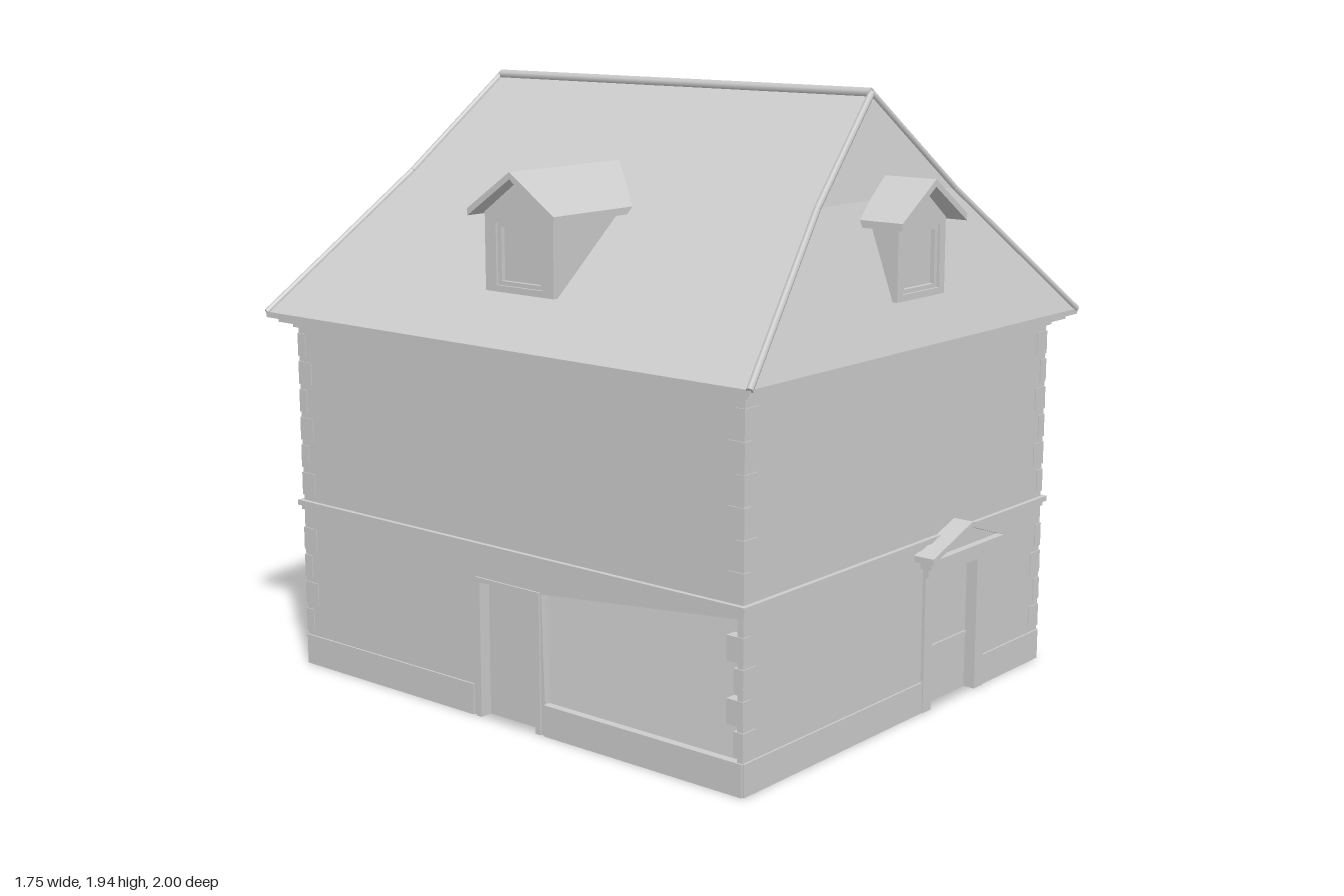
import * as THREE from 'three';

const stone = new THREE.MeshStandardMaterial({ color: 0xcccccc });
stone.name = 'pale grey stone';

const add = (parent, name, geo, x = 0, y = 0, z = 0) => {
  const m = new THREE.Mesh(geo, stone);
  m.name = name;
  m.position.set(x, y, z);
  parent.add(m);
  return m;
};

// Box given by its minimum and maximum corners
const block = (parent, name, x0, x1, y0, y1, z0, z1) =>
  add(parent, name, new THREE.BoxGeometry(x1 - x0, y1 - y0, z1 - z0),
    (x0 + x1) / 2, (y0 + y1) / 2, (z0 + z1) / 2);

const toVecs = pts => pts.map(([x, y]) => new THREE.Vector2(x, y));

// Flat outline with optional holes, extruded from z0 to z1
const slab = (parent, name, pts, z0, z1, holes = []) => {
  const shape = new THREE.Shape(toVecs(pts));
  holes.forEach(h => shape.holes.push(new THREE.Path(toVecs(h))));
  return add(parent, name,
    new THREE.ExtrudeGeometry(shape, { depth: z1 - z0, bevelEnabled: false }), 0, 0, z0);
};

const rect = (x0, x1, y0, y1) => [[x0, y0], [x1, y0], [x1, y1], [x0, y1]];

// Inverted V outline for gabled roofs
const chevron = (cx, w, eave, peak, t) => [
  [cx - w, eave], [cx, peak], [cx + w, eave],
  [cx + w, eave - t], [cx, peak - t], [cx - w, eave - t]];

const side = (parent, name, turn) => {
  const g = new THREE.Group();
  g.name = name;
  g.rotation.y = turn;
  parent.add(g);
  return g;
};

// Wall facing local +z with an optional doorway and holes, plus its plinth
function wall(g, half, z, door, holes) {
  const notch = door ? [[door[0], 0], [door[0], 0.44], [door[1], 0.44], [door[1], 0]] : [];
  slab(g, 'wall', [[-half, 0], ...notch, [half, 0], [half, 1.17], [-half, 1.17]],
    z - 0.02, z, holes);
  const runs = door ? [[-half, door[0] - 0.02], [door[1] + 0.02, half]] : [[-half, half]];
  runs.forEach(([a, b]) => block(g, 'plinth', a, b, 0, 0.1, z - 0.01, z + 0.006));
}

// Door case with entablature and small pediment
function portal(g, z, isDoor) {
  const cx = 0.27;
  if (isDoor) {
    block(g, 'door', 0.14, 0.405, 0, 0.445, z - 0.045, z - 0.03);
    block(g, 'doorRail', 0.16, 0.4, 0.18, 0.19, z - 0.03, z - 0.024);
    for (const [a, b] of [[0.1, 0.145], [0.4, 0.45]])
      block(g, 'doorJamb', a, b, 0, 0.45, z - 0.04, z + 0.01);
  } else {
    block(g, 'windowSill', 0.13, 0.42, 0.135, 0.15, z - 0.02, z + 0.012);
  }
  block(g, 'lintel', 0.1, 0.45, 0.44, 0.47, z - 0.02, z + 0.02);
  block(g, 'entablature', 0.085, 0.455, 0.47, 0.5, z - 0.02, z + 0.04);
  block(g, 'pedimentCornice', 0.05, 0.485, 0.5, 0.514, z - 0.01, z + 0.07);
  slab(g, 'tympanum', [[0.07, 0.51], [0.47, 0.51], [cx, 0.578]], z - 0.01, z + 0.045);
  slab(g, 'pedimentRoof', chevron(cx, 0.22, 0.52, 0.595, 0.018), z - 0.01, z + 0.07);
}

// Dormer facing local +z; back end is buried in the main roof
function dormer(g, front, back, w, roofW, eave, peak, overhang) {
  slab(g, 'dormerBody',
    [[-w, 1.33], [w, 1.33], [w, eave], [0, peak - 0.03], [-w, eave]],
    back, front, [rect(-0.095, 0.095, 1.35, 1.54)]);
  block(g, 'dormerPane', -0.1, 0.1, 1.34, 1.55, front - 0.03, front - 0.022);
  for (const s of [-1, 1])
    block(g, 'dormerFrame', s * 0.0875 - 0.0075, s * 0.0875 + 0.0075, 1.35, 1.54, front - 0.022, front - 0.008);
  block(g, 'dormerFrame', -0.095, 0.095, 1.35, 1.363, front - 0.022, front - 0.008);
  block(g, 'dormerFrame', -0.095, 0.095, 1.527, 1.54, front - 0.022, front - 0.008);
  slab(g, 'dormerRoof', chevron(0, roofW, eave + 0.01, peak, 0.022), back, front + overhang);
}

// Hipped roof from rectangular rings: height, half width, half depth
const rings = [[1.19, 0.87, 0.99], [1.62, 0.358, 0.833], [1.925, 0, 0.765]];
const corners = [[1, 1], [1, -1], [-1, -1], [-1, 1]];
const ringPoint = ([y, x, z], i) => [corners[i % 4][0] * x, y, corners[i % 4][1] * z];

function roofGeometry() {
  const pos = [];
  for (let r = 0; r < rings.length - 1; r++)
    for (let i = 0; i < 4; i++) {
      const a = ringPoint(rings[r], i), b = ringPoint(rings[r], i + 1);
      const c = ringPoint(rings[r + 1], i + 1), d = ringPoint(rings[r + 1], i);
      pos.push(...a, ...b, ...c, ...a, ...c, ...d);
    }
  const geo = new THREE.BufferGeometry();
  geo.setAttribute('position', new THREE.Float32BufferAttribute(pos, 3));
  geo.computeVertexNormals();
  return geo;
}

// Slim rod between two points
function rod(parent, name, a, b, r) {
  const p = new THREE.Vector3(...a), q = new THREE.Vector3(...b);
  const m = add(parent, name, new THREE.CylinderGeometry(r, r, p.distanceTo(q), 6));
  m.position.copy(p).add(q).multiplyScalar(0.5);
  m.quaternion.setFromUnitVectors(new THREE.Vector3(0, 1, 0), q.sub(p).normalize());
}

export function createModel() {
  const house = new THREE.Group();
  house.name = 'house';
  const X = 0.8, Z = 0.92;

  // Four sides
  const front = side(house, 'frontSide', 0);
  const back = side(house, 'backSide', Math.PI);
  const left = side(house, 'leftSide', Math.PI / 2);
  const right = side(house, 'rightSide', -Math.PI / 2);
  const sideDoor = [-0.12, 0.14];
  wall(front, X, Z, [0.145, 0.4], []);
  wall(back, X, Z, null, [rect(0.15, 0.4, 0.15, 0.45)]);
  wall(left, Z, X, sideDoor,
    [[[0.16, 0.1], [0.42, 0.155], [0.68, 0.44], [0.9, 0.525], [0.15, 0.445]]]);
  wall(right, Z, X, sideDoor, [[[0.16, 0.1], [0.9, 0.1], [0.9, 0.52], [0.15, 0.445]]]);
  portal(front, Z, true);
  portal(back, Z, false);

  // Plain side doors
  for (const g of [left, right]) {
    block(g, 'sideDoor', -0.12, 0.14, 0, 0.44, X - 0.05, X - 0.035);
    block(g, 'sideDoorJamb', -0.125, -0.105, 0, 0.45, X - 0.04, X + 0.006);
    block(g, 'sideDoorJamb', 0.125, 0.145, 0, 0.45, X - 0.04, X + 0.006);
    block(g, 'sideDoorHead', -0.125, 0.145, 0.435, 0.45, X - 0.04, X + 0.006);
  }

  // Ground slab underside
  add(house, 'underside', new THREE.PlaneGeometry(2 * X, 2 * Z)).rotation.x = Math.PI / 2;

  // Belt course and stepped eaves cornice
  const course = (name, x, z, y0, y1) => block(house, name, -x, x, y0, y1, -z, z);
  course('beltCourse', 0.806, 0.926, 0.53, 0.545);
  course('beltCourse', 0.815, 0.935, 0.545, 0.562);
  course('cornice', 0.812, 0.932, 1.14, 1.158);
  course('cornice', 0.845, 0.965, 1.158, 1.174);
  course('cornice', 0.872, 0.992, 1.174, 1.192);

  // Corner quoins with alternating lengths
  for (const [sx, sz] of corners)
    for (let i = 0; i < 11; i++) {
      const y = 0.115 + i * 0.093;
      if (y > 0.45 && y < 0.56) continue;
      const lx = i % 2 ? 0.035 : 0.06, lz = i % 2 ? 0.06 : 0.035;
      add(house, 'quoin', new THREE.BoxGeometry(lx, 0.075, lz),
        sx * (X + 0.003 - lx / 2), y + 0.0375, sz * (Z + 0.003 - lz / 2));
    }

  // Main roof with ridge and hip caps
  add(house, 'mainRoof', roofGeometry());
  rod(house, 'ridgeCap', [0, 1.925, -0.765], [0, 1.925, 0.765], 0.016);
  for (let i = 0; i < 4; i++)
    for (let r = 0; r < 2; r++)
      rod(house, 'hipCap', ringPoint(rings[r], i), ringPoint(rings[r + 1], i), 0.011);

  // Dormers on all four slopes
  for (const g of [front, back]) dormer(g, 0.955, 0.8, 0.125, 0.172, 1.56, 1.685, 0.045);
  for (const g of [left, right]) dormer(g, 0.72, 0.25, 0.14, 0.177, 1.57, 1.7, 0.037);

  return house;
}
